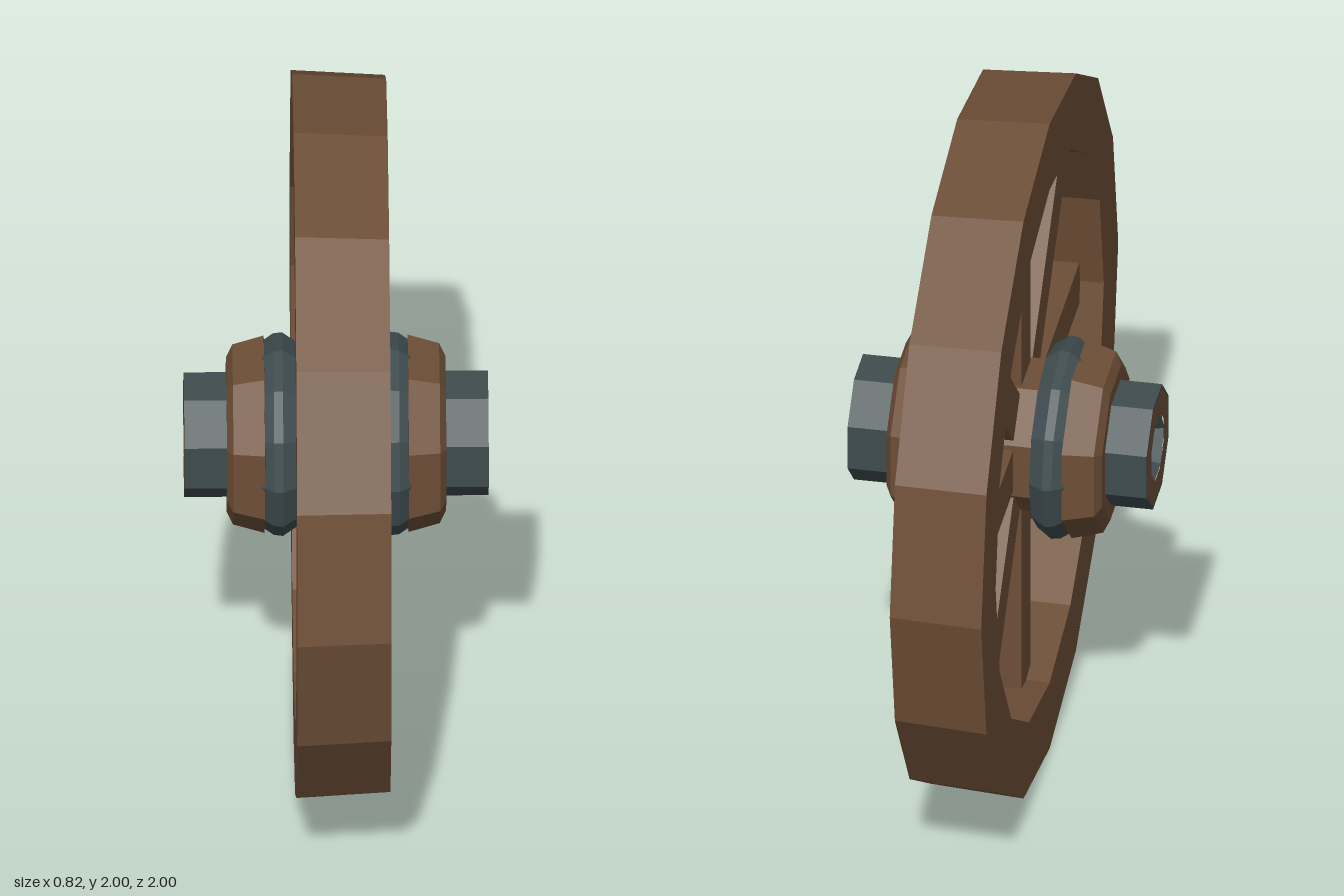
import * as THREE from 'three';

const wood = new THREE.MeshStandardMaterial({ color: 0x6e4f37 });
wood.name = 'brownWood';
const iron = new THREE.MeshStandardMaterial({ color: 0x3f4c4f });
iron.name = 'darkIron';

// Faceted solid turned around the x axis from [radius, x] points
function turned(name, profile, sides, phi, material) {
  const points = profile.map(([r, x]) => new THREE.Vector2(r, x));
  const geometry = new THREE.LatheGeometry(points, sides, phi).toNonIndexed();
  geometry.rotateZ(-Math.PI / 2);
  geometry.computeVertexNormals();
  const mesh = new THREE.Mesh(geometry, material);
  mesh.name = name;
  return mesh;
}

// One end of the hub, pointing along +x
function hubEnd(name) {
  const end = new THREE.Group();
  end.name = name;
  const flat = Math.PI / 8; // puts a flat side of the octagon on top
  end.add(
    turned('ironBand', [[0.18, 0.105], [0.25, 0.105], [0.277, 0.145], [0.274, 0.17], [0.25, 0.205], [0.18, 0.205]], 12, 0, iron),
    turned('woodCollar', [[0.2, 0.19], [0.274, 0.195], [0.25, 0.28], [0.215, 0.297], [0.1, 0.297]], 8, flat, wood),
    turned('ironSleeve', [[0.173, 0.28], [0.173, 0.412], [0.165, 0.412]], 8, flat, iron),
    turned('woodEndRing', [[0.166, 0.412], [0.095, 0.412]], 8, flat, wood),
    // Recessed axle socket
    turned('axleSocket', [[0.097, 0.412], [0.075, 0.34], [0, 0.325]], 6, 0, iron),
  );
  return end;
}

export function createModel() {
  const wheel = new THREE.Group();
  wheel.name = 'wagonWheel';

  // Slightly tapered sixteen-sided rim
  const rim = [[0.79, -0.115], [1, -0.115], [0.985, 0.14], [0.785, 0.14], [0.79, -0.115]];
  wheel.add(turned('rim', rim, 16, 0, wood));

  // Hub core between the bands
  wheel.add(turned('hubCore', [[0.21, -0.2], [0.21, 0.2]], 8, Math.PI / 8, wood));

  // Eight square spokes
  for (let i = 0; i < 8; i++) {
    const geometry = new THREE.BoxGeometry(0.13, 0.65, 0.13);
    geometry.translate(0.015, 0.475, 0);
    const spoke = new THREE.Mesh(geometry, wood);
    spoke.name = 'spoke' + (i + 1);
    spoke.rotation.x = (i * Math.PI) / 4;
    wheel.add(spoke);
  }

  // Matching hub ends
  const right = hubEnd('rightHubEnd');
  right.rotation.y = Math.PI;
  wheel.add(hubEnd('leftHubEnd'), right);

  wheel.position.y = 1;
  const model = new THREE.Group();
  model.name = 'wheelModel';
  model.add(wheel);
  return model;
}
